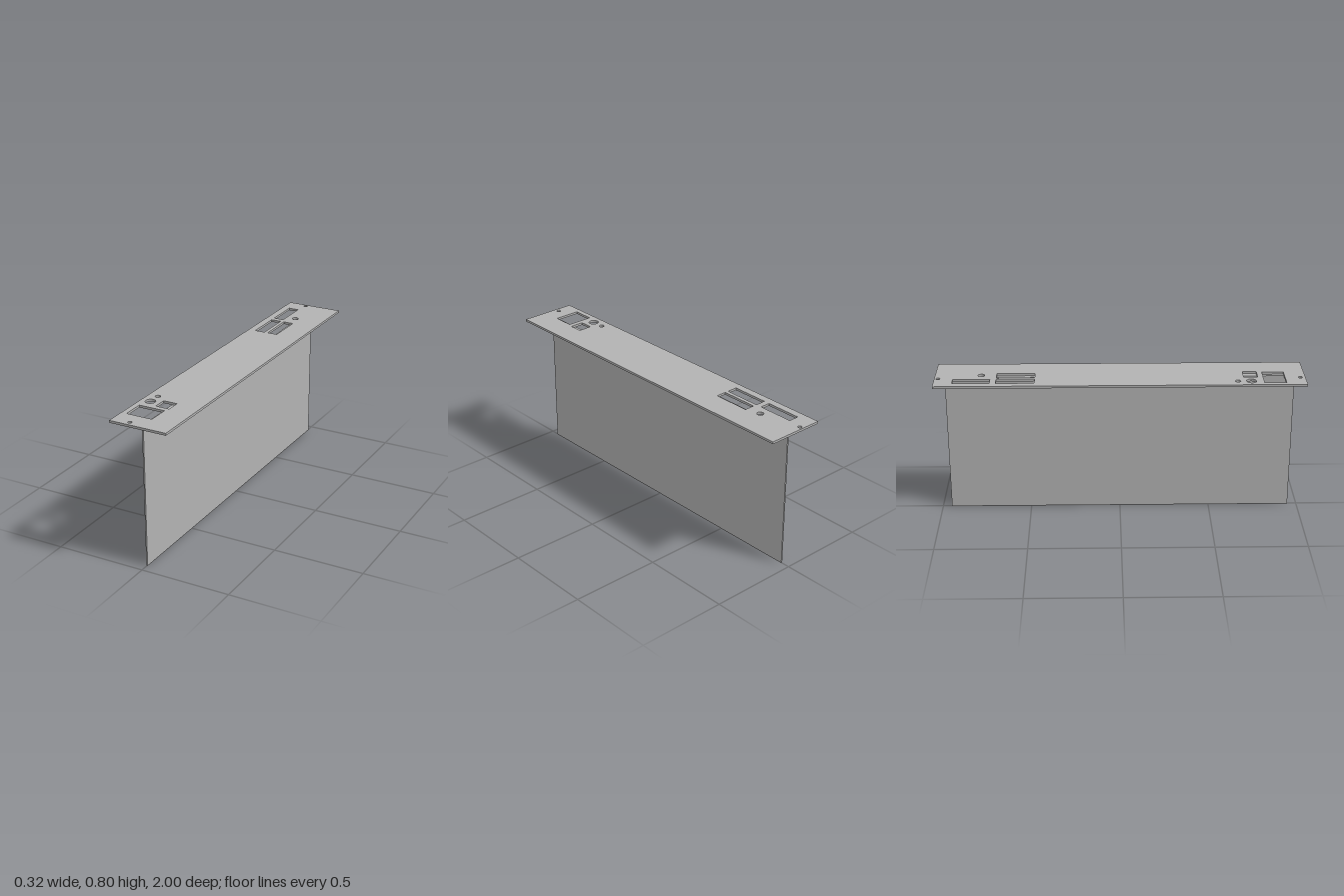
import * as THREE from 'three';

const PLATE = { halfWidth: 0.161, halfLength: 1, bottom: 0.784, thickness: 0.013 };
const SHEET = 0.008;       // thickness of the bent sheet
const SHEET_HALF = 0.95;   // half length of the bent sheet

// Rectangular cutouts: x0, x1, z0, z1
const SLOTS = [
  [-0.12, -0.062, -0.9, -0.7],
  [-0.12, -0.062, -0.667, -0.46],
  [-0.041, 0.017, -0.667, -0.46],
  [-0.053, 0.026, 0.667, 0.743],
  [-0.131, 0.016, 0.772, 0.89],
];

// Round cutouts: x, z, radius
const HOLES = [
  [-0.05, -0.98, 0.011],
  [-0.006, -0.75, 0.018],
  [-0.108, 0.632, 0.014],
  [-0.108, 0.704, 0.027],
  [-0.06, 0.972, 0.011],
];

function rectangle(x0, x1, y0, y1, Type = THREE.Path) {
  return new Type([[x0, y0], [x1, y0], [x1, y1], [x0, y1]].map(([x, y]) => new THREE.Vector2(x, y)));
}

function createModel() {
  const grey = new THREE.MeshStandardMaterial({ color: 0xb2b2b2 });
  grey.name = 'plain grey';
  const model = new THREE.Group();
  model.name = 'facePlateAssembly';

  // Face plate, drawn in plan with shape y = -z, then laid flat
  const { halfWidth: w, halfLength: l } = PLATE;
  const plan = rectangle(-w, w, -l, l, THREE.Shape);
  for (const [x0, x1, z0, z1] of SLOTS) plan.holes.push(rectangle(x0, x1, -z1, -z0));
  for (const [x, z, r] of HOLES) plan.holes.push(new THREE.Path().absarc(x, -z, r, 0, Math.PI * 2, true));
  const plateGeometry = new THREE.ExtrudeGeometry(plan, {
    depth: PLATE.thickness, bevelEnabled: false, curveSegments: 24,
  });
  plateGeometry.rotateX(-Math.PI / 2).translate(0, PLATE.bottom, 0);
  const plate = new THREE.Mesh(plateGeometry, grey);
  plate.name = 'facePlate';
  model.add(plate);

  // Upright panel with its top edge bent over into a mounting flange
  const left = -0.005, top = PLATE.bottom;
  const profile = new THREE.Shape([
    [left, 0], [left + SHEET, 0], [left + SHEET, top - SHEET],
    [0.06, top - SHEET], [0.06, top], [left, top],
  ].map(([x, y]) => new THREE.Vector2(x, y)));
  const sheetGeometry = new THREE.ExtrudeGeometry(profile, { depth: SHEET_HALF * 2, bevelEnabled: false });
  sheetGeometry.translate(0, 0, -SHEET_HALF);
  const sheet = new THREE.Mesh(sheetGeometry, grey);
  sheet.name = 'flangedPanel';
  model.add(sheet);

  return model;
}

export { createModel };
